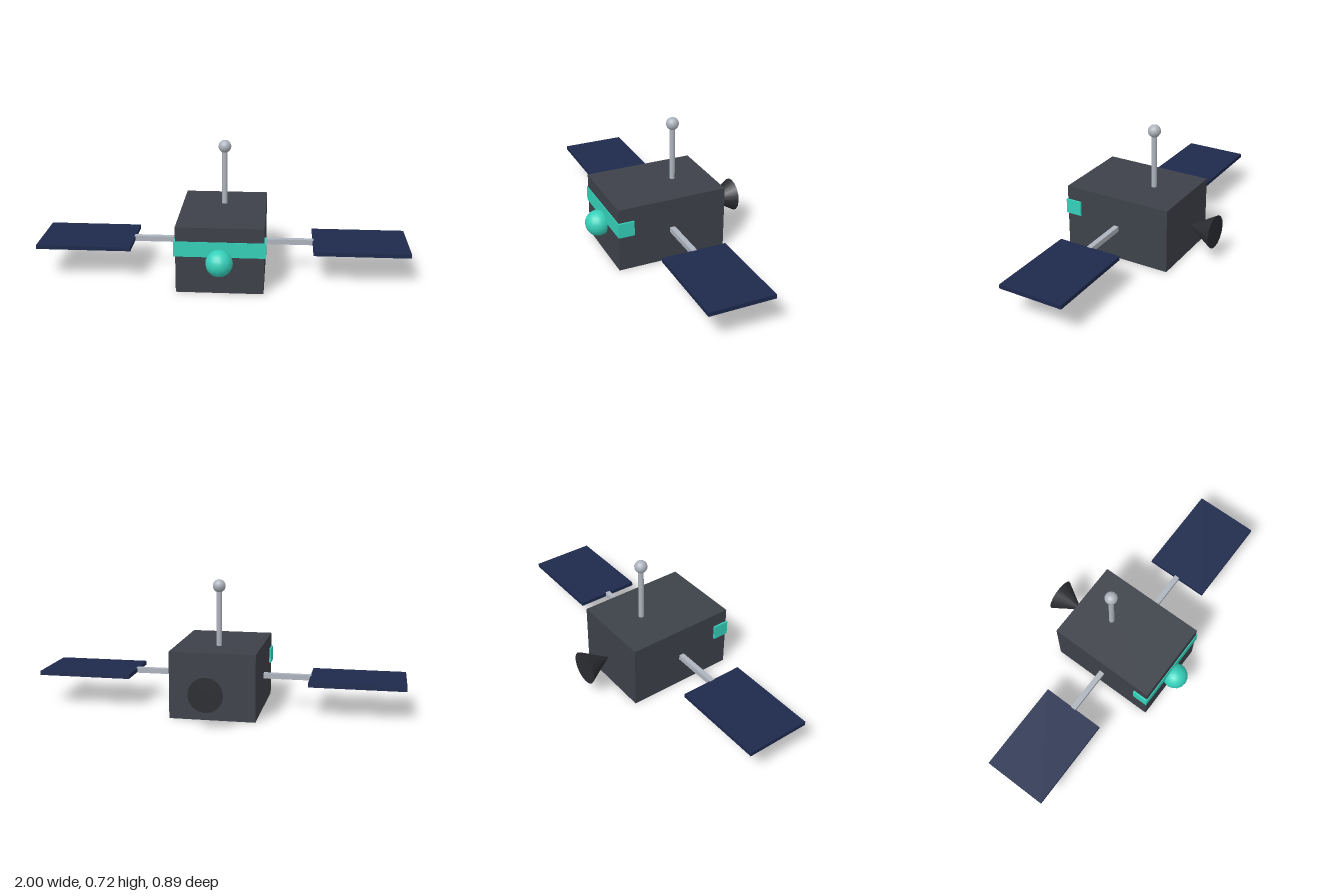
import * as THREE from 'three';

const paint = (color) => new THREE.MeshStandardMaterial({ color });

export function createModel() {
  const model = new THREE.Group();
  model.name = 'satellite';

  const hull = paint(0x3d4149);
  const teal = paint(0x35d0ba);
  const metal = paint(0xaeb4be);
  const navy = paint(0x1e2a4d);
  const dark = paint(0x2a2c31);

  const add = (name, geometry, material, x, y, z) => {
    const mesh = new THREE.Mesh(geometry, material);
    mesh.name = name;
    mesh.position.set(x, y, z);
    model.add(mesh);
    return mesh;
  };

  const midY = 0.18;
  const midZ = 0.036;

  // Main box, with the coloured band and sensor dome at its front
  add('body', new THREE.BoxGeometry(0.46, 0.36, 0.615), hull, 0, midY, midZ);
  add('frontBand', new THREE.BoxGeometry(0.48, 0.082, 0.09), teal, 0, 0.242, 0.303);
  add('sensorDome', new THREE.SphereGeometry(0.071, 16, 12), teal, 0, midY, 0.374);

  // Thruster nozzle behind the body, its tip pointing forward
  const nozzle = new THREE.ConeGeometry(0.092, 0.153, 16).rotateX(Math.PI / 2);
  add('thrusterNozzle', nozzle, dark, 0, midY, -0.3645);

  // Antenna mast and ball
  add('antennaMast', new THREE.CylinderGeometry(0.0148, 0.0148, 0.34, 12), metal, 0, 0.515, -0.066);
  add('antennaBall', new THREE.SphereGeometry(0.035, 16, 12), metal, 0, 0.684, -0.066);

  // Solar wings on both sides
  for (const [side, s] of [['left', 1], ['right', -1]]) {
    add(side + 'Strut', new THREE.BoxGeometry(0.28, 0.029, 0.029), metal, s * 0.352, midY, midZ);
    add(side + 'SolarPanel', new THREE.BoxGeometry(0.512, 0.022, 0.358), navy, s * 0.744, midY, midZ);
  }

  return model;
}
